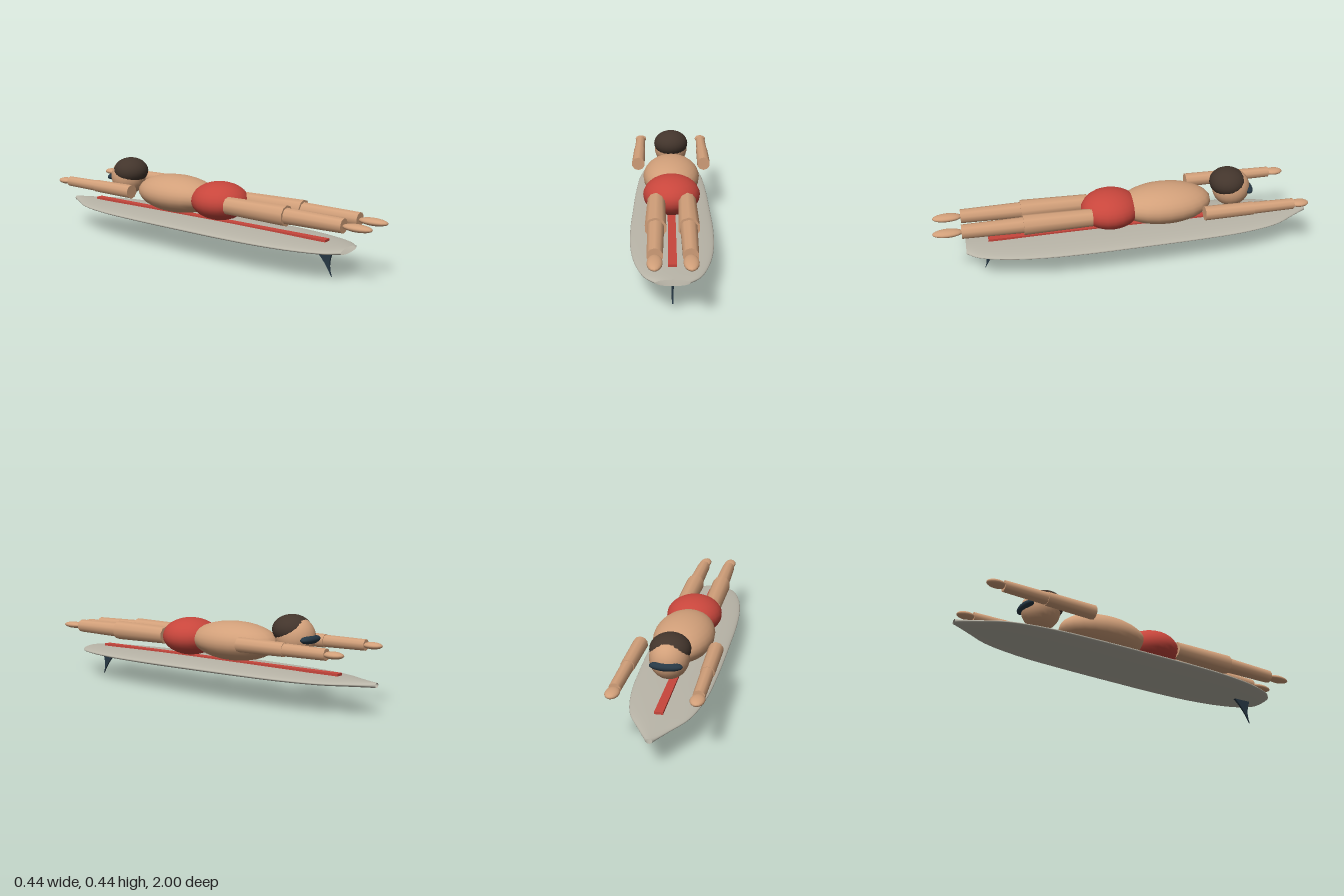
import * as THREE from 'three';
import { ParametricGeometry } from 'three/addons/geometries/ParametricGeometry.js';

const mat = (color, side = THREE.FrontSide) => new THREE.MeshStandardMaterial({ color, side });

export function createModel() {
  const model = new THREE.Group();
  model.name = 'surferOnBoard';
  const skin = mat(0xd2a07a);
  const red = mat(0xc8463c);
  const hairMat = mat(0x43352c);
  const navy = mat(0x263845);
  const boardMat = mat(0xb9b5a8, THREE.DoubleSide);

  function add(name, geometry, material, parent = model) {
    const mesh = new THREE.Mesh(geometry, material);
    mesh.name = name;
    parent.add(mesh);
    return mesh;
  }

  // Ellipsoid given by its centre and its three radii
  function ellipsoid(name, material, centre, radii, parent, w = 24, h = 16) {
    const mesh = add(name, new THREE.SphereGeometry(1, w, h), material, parent);
    mesh.position.set(...centre);
    mesh.scale.set(...radii);
    return mesh;
  }

  // Round limb lying along z, from z0 (radius r0) to z1 (radius r1), z1 > z0
  function limb(name, x, y, z0, z1, r0, r1, parent) {
    const geometry = new THREE.CylinderGeometry(r1, r0, z1 - z0, 10);
    geometry.rotateX(Math.PI / 2);
    add(name, geometry, skin, parent).position.set(x, y, (z0 + z1) / 2);
  }

  // Board: elliptical sections (half width, half thickness, z), open at nose and tail
  const sections = new THREE.CatmullRomCurve3([
    [0.015, 0.012, -1], [0.068, 0.015, -0.91], [0.135, 0.018, -0.79],
    [0.178, 0.022, -0.6], [0.196, 0.024, -0.35], [0.205, 0.026, 0],
    [0.208, 0.026, 0.25], [0.198, 0.024, 0.48], [0.17, 0.021, 0.66],
    [0.125, 0.018, 0.79], [0.077, 0.0155, 0.845],
  ].map(p => new THREE.Vector3(...p)));
  const section = new THREE.Vector3();
  const board = new ParametricGeometry((u, v, target) => {
    sections.getPoint(v, section);
    const a = u * Math.PI * 2;
    target.set(section.x * Math.cos(a), 0.147 + section.y * Math.sin(a), section.z);
  }, 40, 60);
  add('board', board, boardMat);

  // Stripe along the deck
  add('deckStripe', new THREE.BoxGeometry(0.04, 0.012, 1.54), red).position.set(0, 0.174, -0.04);

  // Fin: swept outline, thicker towards its root
  const finShape = new THREE.Shape();
  finShape.moveTo(-0.655, 0.13);
  finShape.quadraticCurveTo(-0.715, 0.085, -0.76, 0);
  finShape.quadraticCurveTo(-0.735, 0.06, -0.765, 0.13);
  finShape.closePath();
  const fin = new THREE.ExtrudeGeometry(finShape, { depth: 0.008, bevelEnabled: false, curveSegments: 10 });
  fin.translate(0, 0, -0.004);
  fin.rotateY(Math.PI / 2);
  const pos = fin.attributes.position;
  for (let i = 0; i < pos.count; i++) {
    pos.setX(i, pos.getX(i) * (1 + Math.max(0, pos.getY(i) - 0.06) * 12));
  }
  fin.computeVertexNormals();
  add('fin', fin, navy);

  // Trunk
  ellipsoid('torso', skin, [0, 0.28, -0.2], [0.152, 0.1, 0.25]);
  ellipsoid('swimShorts', red, [0, 0.279, 0.09], [0.146, 0.099, 0.155]);

  // Head
  const head = new THREE.Group();
  head.name = 'head';
  model.add(head);
  ellipsoid('face', skin, [0, 0.33, -0.565], [0.094, 0.1, 0.1], head);
  ellipsoid('hair', hairMat, [0, 0.365, -0.545], [0.097, 0.074, 0.097], head);
  ellipsoid('goggles', navy, [0, 0.325, -0.648], [0.078, 0.022, 0.03], head);

  // Arms reaching forward and legs stretched back, on both sides
  for (const [label, s] of [['left', 1], ['right', -1]]) {
    const arm = new THREE.Group();
    arm.name = label + 'Arm';
    const ax = s * 0.185, ay = 0.295;
    limb('upperArm', ax, ay, -0.625, -0.365, 0.034, 0.037, arm);
    limb('forearm', ax, ay, -0.845, -0.615, 0.028, 0.031, arm);
    ellipsoid('hand', skin, [ax, ay, -0.88], [0.033, 0.017, 0.05], arm, 16, 12);

    const leg = new THREE.Group();
    leg.name = label + 'Leg';
    const lx = s * 0.077, ly = 0.28;
    limb('thigh', lx, ly, 0.2, 0.55, 0.046, 0.052, leg);
    limb('calf', lx, ly, 0.54, 0.857, 0.041, 0.036, leg);
    ellipsoid('foot', skin, [lx, ly, 0.925], [0.034, 0.018, 0.075], leg, 16, 12);
    model.add(arm, leg);
  }
  return model;
}
